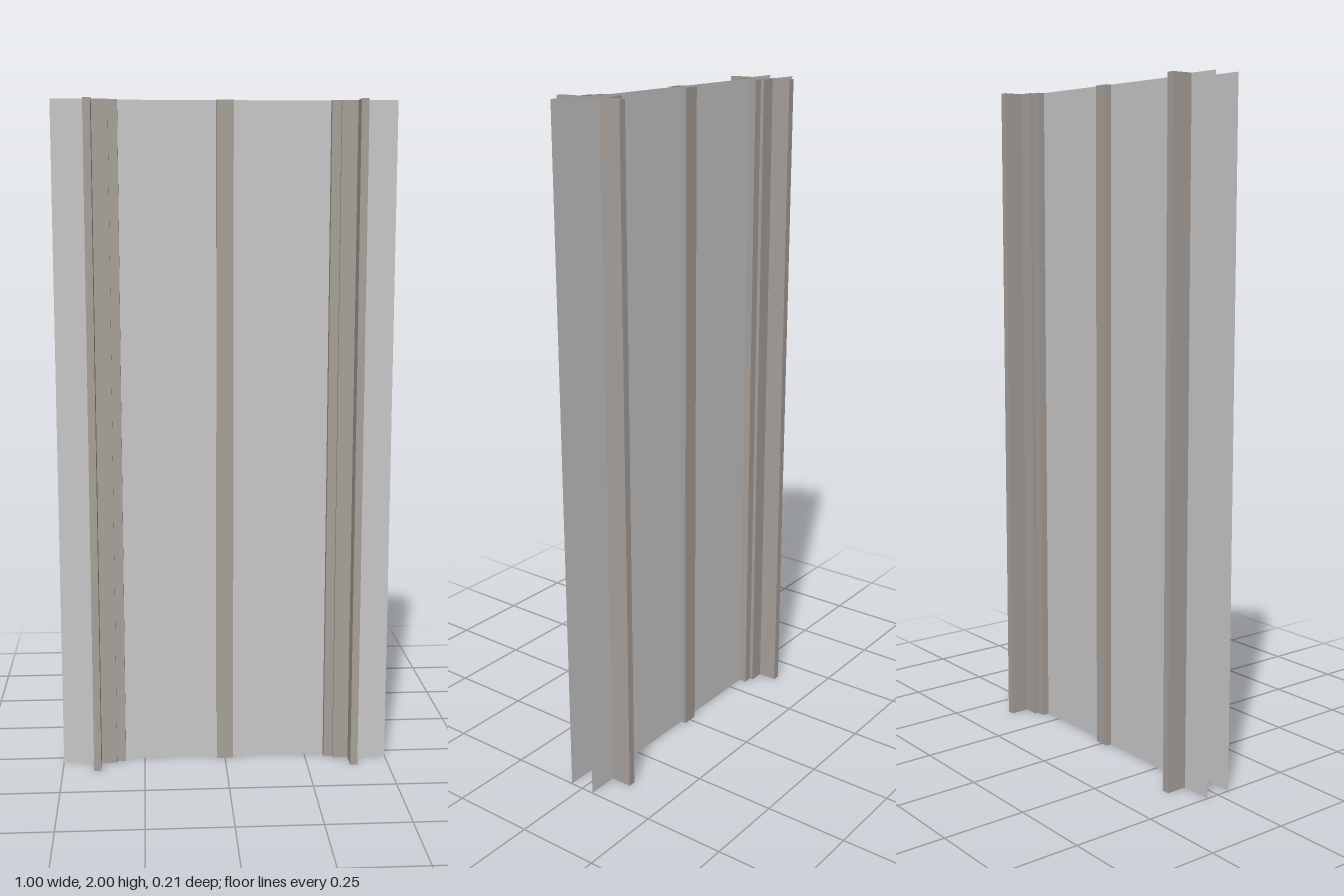
import * as THREE from 'three';

const HEIGHT = 2;

const frameMaterial = new THREE.MeshStandardMaterial({ color: 0xa8a19b, side: THREE.DoubleSide });
frameMaterial.name = 'warm grey frame';
const panelMaterial = new THREE.MeshStandardMaterial({ color: 0xc9c9c9, side: THREE.DoubleSide });
panelMaterial.name = 'pale grey panel';

// Upright walls along an [x, z] plan outline, open at top and bottom
function walls(name, outline, material, closed = true) {
  const positions = [];
  const count = closed ? outline.length : outline.length - 1;
  for (let i = 0; i < count; i++) {
    const [ax, az] = outline[i];
    const [bx, bz] = outline[(i + 1) % outline.length];
    positions.push(ax, 0, az, bx, 0, bz, bx, HEIGHT, bz);
    positions.push(ax, 0, az, bx, HEIGHT, bz, ax, HEIGHT, az);
  }
  const geometry = new THREE.BufferGeometry();
  geometry.setAttribute('position', new THREE.Float32BufferAttribute(positions, 3));
  geometry.computeVertexNormals();
  const mesh = new THREE.Mesh(geometry, material);
  mesh.name = name;
  return mesh;
}

// Rectangular hollow tube, listed so its walls face outward
function tube(name, x0, x1, depth) {
  return walls(name, [[x0, depth], [x1, depth], [x1, -depth], [x0, -depth]], frameMaterial);
}

// Flat sheet facing front or back
function sheet(name, x0, x1, z) {
  const ends = z > 0 ? [[x0, z], [x1, z]] : [[x1, z], [x0, z]];
  return walls(name, ends, panelMaterial, false);
}

export function createModel() {
  const model = new THREE.Group();
  model.name = 'partitionSection';

  // Slim post in the middle
  model.add(tube('centrePost', -0.025, 0.025, 0.029));

  for (const [label, side] of [['left', 1], ['right', -1]]) {
    const span = (a, b) => (side > 0 ? [a, b] : [-b, -a]);

    // Stepped jamb: deep outer stop, main body, narrow inner rebate
    const jamb = new THREE.Group();
    jamb.name = label + 'Jamb';
    jamb.add(tube('outerStop', ...span(0.383, 0.405), 0.105));
    jamb.add(tube('jambBody', ...span(0.336, 0.383), 0.046));
    jamb.add(tube('innerRebate', ...span(0.309, 0.336), 0.035));
    model.add(jamb);

    // Thin door leaf faces and wider wall faces, front and back
    for (const [face, dir] of [['Front', 1], ['Back', -1]]) {
      model.add(sheet(label + 'Leaf' + face, ...span(0.025, 0.309), dir * 0.012));
      model.add(sheet(label + 'Wall' + face, ...span(0.405, 0.5), dir * 0.04));
    }
  }
  return model;
}
